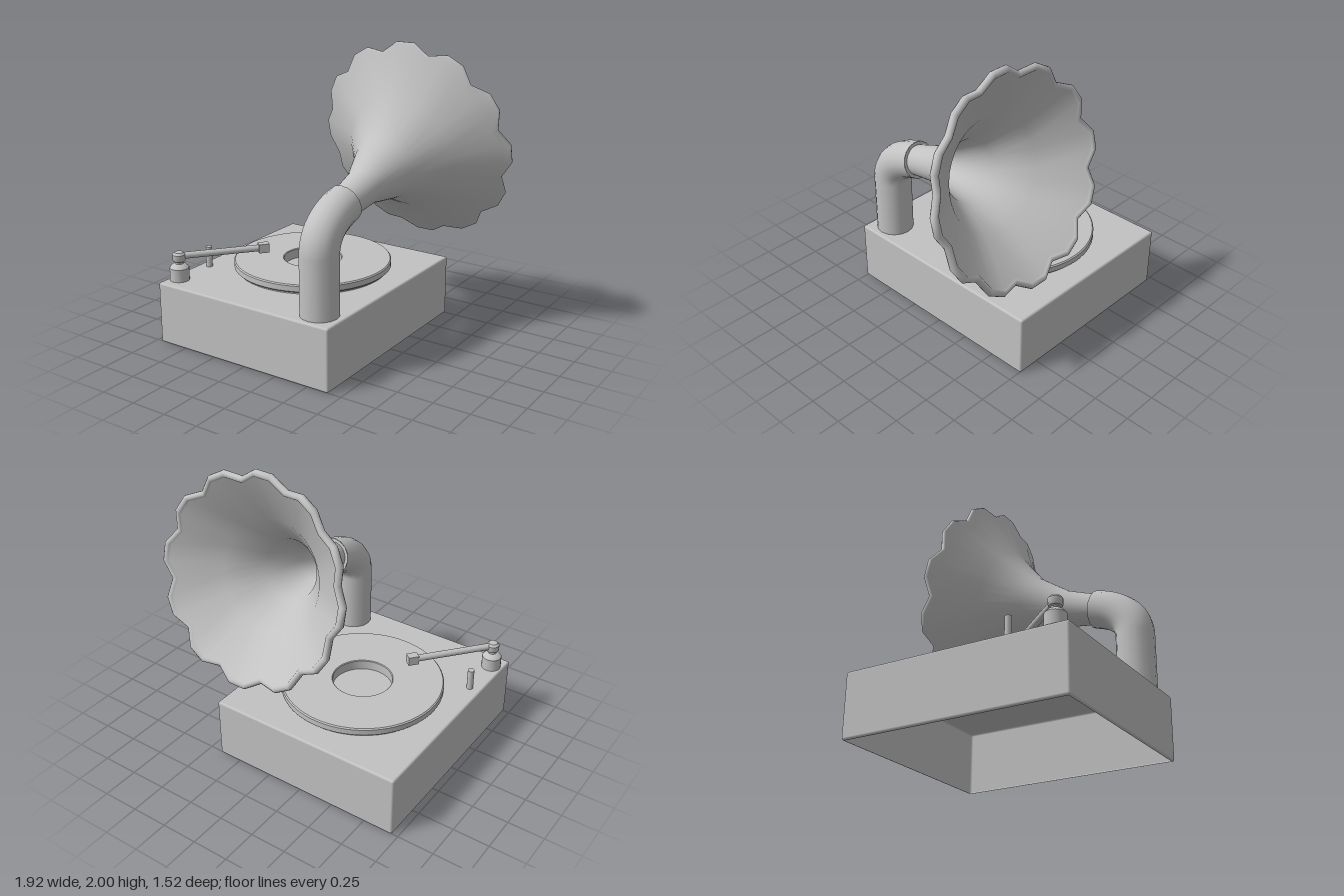
import * as THREE from 'three';
import { mergeVertices, toCreasedNormals } from 'three/addons/utils/BufferGeometryUtils.js';
import { RoundedBoxGeometry } from 'three/addons/geometries/RoundedBoxGeometry.js';

const grey = new THREE.MeshStandardMaterial({ color: 0xc2c2c2, side: THREE.DoubleSide });
grey.name = 'plain grey';

const profile = (pts) => pts.map(([r, y]) => new THREE.Vector2(r, y));
const turned = (pts, sides) => toCreasedNormals(new THREE.LatheGeometry(profile(pts), sides), 0.6);

function add(parent, name, geometry, x = 0, y = 0, z = 0) {
  const mesh = new THREE.Mesh(geometry, grey);
  mesh.name = name;
  mesh.position.set(x, y, z);
  parent.add(mesh);
  return mesh;
}

// Rounded cabinet shell without its underside
function cabinetGeometry(w, h, d) {
  const box = new RoundedBoxGeometry(w, h, d, 2, 0.015);
  const p = box.attributes.position, n = box.attributes.normal;
  const pos = [], nor = [];
  for (let i = 0; i < p.count; i += 3) {
    if ([0, 1, 2].every((k) => p.getY(i + k) < -h / 2 + 1e-4)) continue;
    for (let k = i; k < i + 3; k++) {
      pos.push(p.getX(k), p.getY(k), p.getZ(k));
      nor.push(n.getX(k), n.getY(k), n.getZ(k));
    }
  }
  const g = new THREE.BufferGeometry();
  g.setAttribute('position', new THREE.Float32BufferAttribute(pos, 3));
  g.setAttribute('normal', new THREE.Float32BufferAttribute(nor, 3));
  return g;
}

// Flared horn along +y: outer wall, rolled rim, inner wall, then twelve scallops
function hornGeometry() {
  const wall = [[0.102, -0.03], [0.106, 0.03], [0.125, 0.225], [0.215, 0.472], [0.389, 0.697], [0.668, 0.888]];
  const rim = [];
  for (let i = 0; i <= 6; i++) {
    const a = -0.6 + (i / 6) * 3.6;
    rim.push([0.688 + 0.026 * Math.cos(a), 0.918 + 0.026 * Math.sin(a)]);
  }
  const inner = wall.slice(0, 5).reverse().map(([r, y]) => [r - 0.012, y + 0.012]);
  const step = Math.PI / 18;
  const g = new THREE.LatheGeometry(profile([...wall, ...rim, ...inner]), 36, step / 2);
  const p = g.attributes.position;
  for (let i = 0; i < p.count; i++) {
    const x = p.getX(i), y = p.getY(i), z = p.getZ(i);
    const lobe = Math.cos(12 * Math.atan2(x, z));
    const notch = lobe < -0.5 ? THREE.MathUtils.clamp((y - 0.72) / 0.16, 0, 1) : 0;
    p.setXYZ(i, x * (1 - 0.075 * notch), y - 0.025 * notch, z * (1 - 0.075 * notch));
  }
  g.deleteAttribute('uv');
  g.deleteAttribute('normal');
  const merged = mergeVertices(g, 1e-5);
  merged.computeVertexNormals();
  return merged;
}

export function createModel() {
  const model = new THREE.Group();
  model.name = 'gramophone';

  add(model, 'cabinet', cabinetGeometry(1.37, 0.43, 1.52), -0.275, 0.217, 0);

  // Turntable ring with a slightly smaller foot
  add(model, 'turntable', turned([
    [0.2, 0.432], [0.52, 0.432], [0.52, 0.448], [0.537, 0.448], [0.545, 0.456],
    [0.545, 0.494], [0.537, 0.502], [0.205, 0.502], [0.2, 0.497], [0.2, 0.432],
  ], 64), -0.28, 0, -0.07);

  // Tone arm on its post
  const arm = new THREE.Group();
  arm.name = 'toneArm';
  arm.position.set(-0.88, 0, 0.635);
  arm.rotation.y = Math.atan2(0.37, -0.447);
  model.add(arm);
  add(arm, 'armPost', turned([
    [0.066, 0.38], [0.066, 0.52], [0.045, 0.543], [0.028, 0.548], [0.028, 0.56], [0.04, 0.566],
    [0.044, 0.574], [0.044, 0.612], [0.03, 0.627], [0, 0.627],
  ], 16));
  const rod = new THREE.CylinderGeometry(0.023, 0.023, 0.56, 16).rotateX(Math.PI / 2);
  add(arm, 'armRod', rod, 0, 0.6, 0.28);
  add(arm, 'pickupHead', new THREE.BoxGeometry(0.056, 0.062, 0.072), 0, 0.6, 0.58);

  // Arm rest pin
  add(model, 'restPin', new THREE.CylinderGeometry(0.022, 0.022, 0.18, 16), -0.88, 0.487, 0.33);

  // Bent pipe rising from the cabinet
  const v = (y, z) => new THREE.Vector3(0.245, y, z);
  const path = new THREE.CurvePath();
  path.add(new THREE.LineCurve3(v(0.425, 0.603), v(0.83, 0.603)));
  path.add(new THREE.QuadraticBezierCurve3(v(0.83, 0.603), v(1.013, 0.603), v(1.083, 0.328)));
  add(model, 'pipe', new THREE.TubeGeometry(path, 28, 0.128, 16, false));

  // Horn group points backwards and a little upwards from the pipe mouth
  const horn = new THREE.Group();
  horn.name = 'hornAssembly';
  horn.position.set(0.245, 1.083, 0.328);
  horn.rotation.x = -1.322;
  model.add(horn);
  add(horn, 'pipeEnd', new THREE.CircleGeometry(0.127, 16).rotateX(-Math.PI / 2));
  add(horn, 'horn', hornGeometry());

  return model;
}
